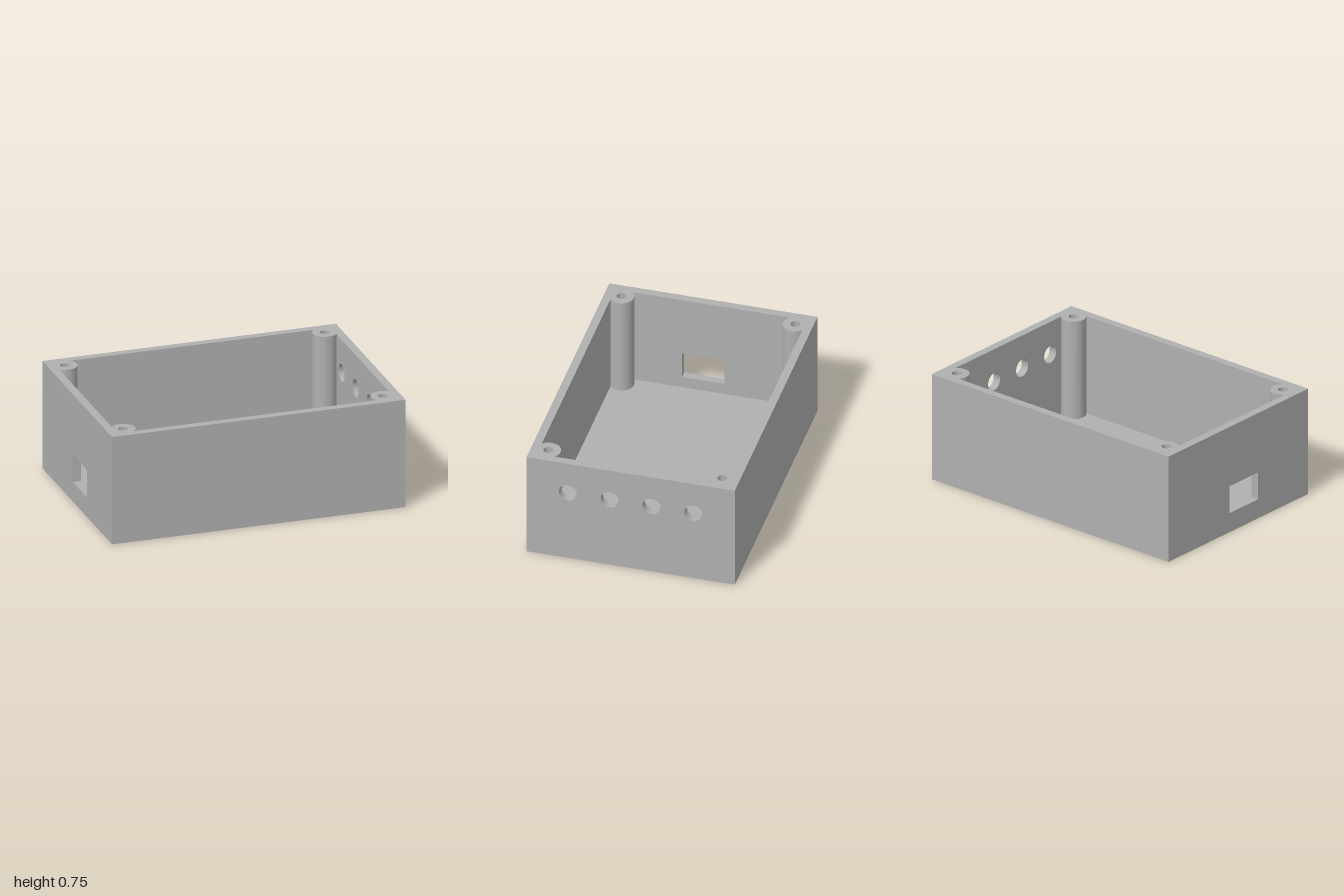
import * as THREE from 'three';
import { toCreasedNormals } from 'three/addons/utils/BufferGeometryUtils.js';

const HX = 1, HZ = 0.697, H = 0.745; // outer half width, half depth, height
const T = 0.055; // wall and floor thickness
const IX = HX - T, IZ = HZ - T; // inner half sizes

const grey = new THREE.MeshStandardMaterial({ color: 0xb0b0b0 });
grey.name = 'plain grey';

function add(parent, name, geometry, x = 0, y = 0, z = 0) {
  const mesh = new THREE.Mesh(geometry, grey);
  mesh.name = name;
  mesh.position.set(x, y, z);
  parent.add(mesh);
  return mesh;
}

function extrude(shape, depth) {
  const g = new THREE.ExtrudeGeometry(shape, { depth, bevelEnabled: false, curveSegments: 40 });
  return toCreasedNormals(g, 0.5);
}

function rectangle(path, x0, y0, x1, y1) {
  path.moveTo(x0, y0).lineTo(x1, y0).lineTo(x1, y1).lineTo(x0, y1).closePath();
  return path;
}

// End wall drawn in the z-y plane, its thickness running towards -x
function endWall(holes) {
  const shape = rectangle(new THREE.Shape(), -HZ, 0, HZ, H);
  shape.holes.push(...holes);
  return extrude(shape, T).rotateY(-Math.PI / 2);
}

// Corner post: round towards the inside, filled out to the two walls
function postGeometry() {
  const d = 0.06, r = 0.082;
  const e = Math.sqrt(r * r - d * d);
  const shape = new THREE.Shape();
  shape.moveTo(d, d).lineTo(-e, d);
  shape.absarc(0, 0, r, Math.atan2(d, -e), Math.atan2(-e, d) + 2 * Math.PI, false);
  shape.closePath();
  shape.holes.push(new THREE.Path().absarc(0, 0, 0.032, 0, Math.PI * 2, true));
  return extrude(shape, H - T).rotateX(-Math.PI / 2);
}

export function createModel() {
  const box = new THREE.Group();
  box.name = 'enclosure';

  add(box, 'floor', new THREE.BoxGeometry(2 * IX, T, 2 * HZ), 0, T / 2, 0);

  // Long walls
  for (const [name, s] of [['frontWall', 1], ['backWall', -1]]) {
    add(box, name, new THREE.BoxGeometry(2 * IX, H - T, T), 0, (H + T) / 2, s * (HZ - T / 2));
  }

  // End wall with four round openings
  const round = [-0.42, -0.14, 0.14, 0.42].map((z) =>
    new THREE.Path().absarc(z, 0.515, 0.06, 0, Math.PI * 2, true));
  add(box, 'roundHoleWall', endWall(round), HX);

  // End wall with one rectangular opening
  const slot = rectangle(new THREE.Path(), -0.09, 0.135, 0.195, 0.325);
  add(box, 'socketWall', endWall([slot]), -IX);

  // Screw posts, turned a quarter for each corner
  const post = postGeometry();
  [[1, -1], [-1, -1], [-1, 1], [1, 1]].forEach(([sx, sz], i) => {
    const mesh = add(box, 'screwPost', post, sx * (IX - 0.06), T, sz * (IZ - 0.06));
    mesh.rotation.y = i * Math.PI / 2;
  });

  return box;
}
